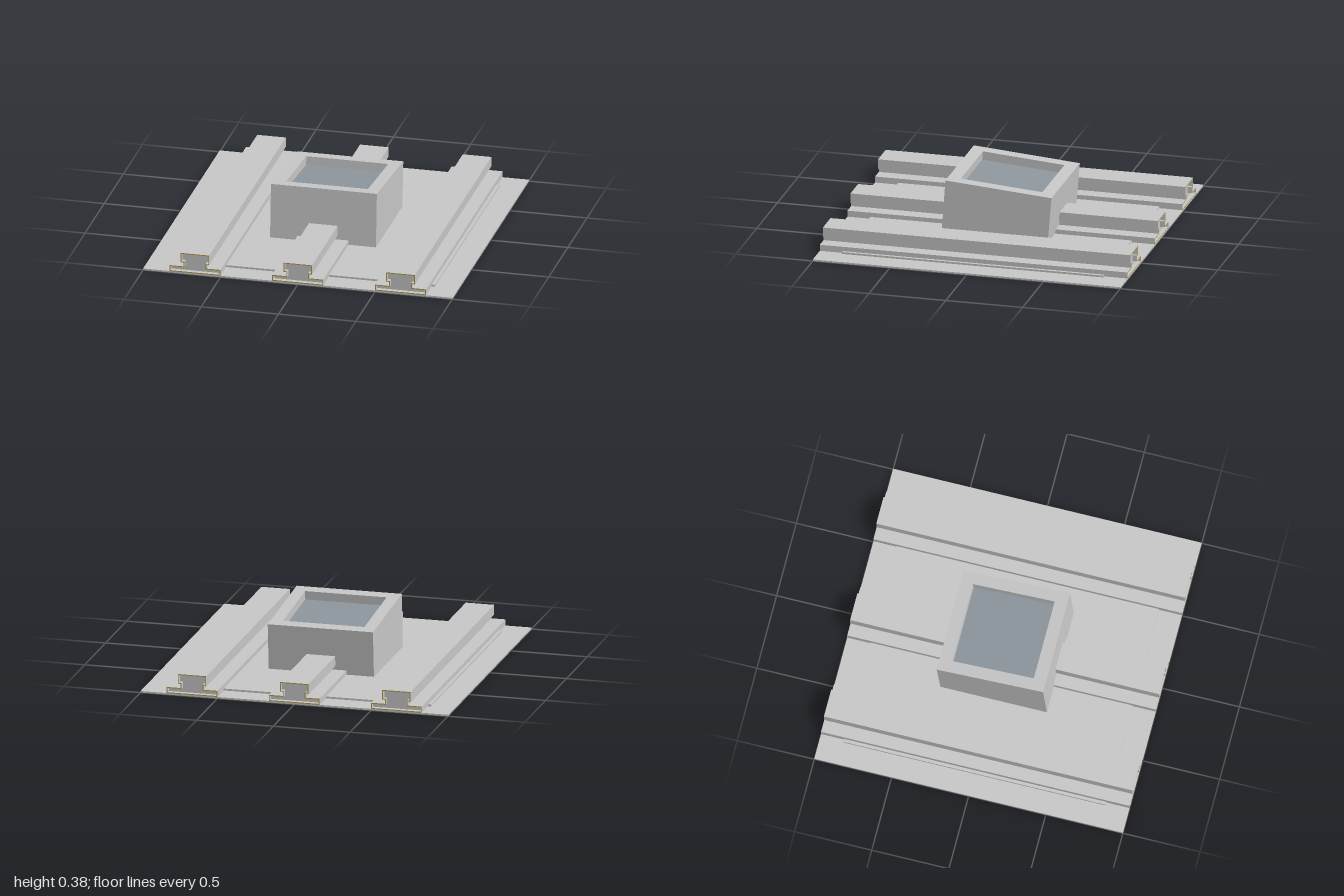
import * as THREE from 'three';

const sheetMetal = new THREE.MeshStandardMaterial({ color: 0xc8c8c8 });
sheetMetal.name = 'light grey metal';
const rimYellow = new THREE.MeshStandardMaterial({ color: 0xb89a40 });
rimYellow.name = 'yellow rim';
const glassBlue = new THREE.MeshStandardMaterial({ color: 0x8e979f });
glassBlue.name = 'blue grey glass';

function add(parent, name, geometry, material, x = 0, y = 0, z = 0) {
  const mesh = new THREE.Mesh(geometry, material);
  mesh.name = name;
  mesh.position.set(x, y, z);
  parent.add(mesh);
  return mesh;
}

const toVectors = (points) => points.map(([x, y]) => new THREE.Vector2(x, y));

// Insets a counter-clockwise right-angled outline by t
function inset(points, t) {
  const n = points.length;
  const inward = (a, b) => [-Math.sign(b[1] - a[1]) * t, Math.sign(b[0] - a[0]) * t];
  return points.map((p, i) => {
    const u = inward(points[(i + n - 1) % n], p);
    const v = inward(p, points[(i + 1) % n]);
    return [p[0] + u[0] + v[0], p[1] + u[1] + v[1]];
  });
}

function extrude(shape, depth) {
  return new THREE.ExtrudeGeometry(shape, { depth, bevelEnabled: false });
}

// Rail: wide foot, narrow neck and broad head, with a shallow open pocket at each end
function makeRail() {
  const rail = new THREE.Group();
  const right = [[0.165, 0.01], [0.165, 0.05], [0.074, 0.05], [0.074, 0.077], [0.0925, 0.077], [0.0925, 0.14]];
  const outline = [...right, ...right.map(([x, y]) => [-x, y]).reverse()];
  const pocket = 0.03;

  add(rail, 'railBody', extrude(new THREE.Shape(toVectors(outline)), 2 - 2 * pocket), sheetMetal, 0, 0, -1 + pocket);

  const ring = new THREE.Shape(toVectors(outline));
  ring.holes.push(new THREE.Path(toVectors(inset(outline, 0.006))));
  const ringGeometry = extrude(ring, pocket);
  for (const z of [-1, 1 - pocket]) {
    add(rail, 'railEndRim', ringGeometry, [rimYellow, sheetMetal], 0, 0, z);
  }
  return rail;
}

function rectangle(Type, halfWidth, z0, z1) {
  return new Type(toVectors([[-halfWidth, -z1], [halfWidth, -z1], [halfWidth, -z0], [-halfWidth, -z0]]));
}

// Tilts the upper rim and leans the walls of an upright unit-high block
function tilt(geometry) {
  const p = geometry.attributes.position;
  for (let i = 0; i < p.count; i++) {
    const z = p.getZ(i);
    const top = 0.35 + 0.08 * z;
    const h = p.getY(i);
    p.setY(i, 0.012 + (top - 0.012) * h);
    p.setZ(i, z + 0.025 * (1 - h));
  }
  geometry.computeVertexNormals();
  return geometry;
}

export function createModel() {
  const model = new THREE.Group();
  model.name = 'roofPanelWithSkylight';

  // Stacked floor sheets
  add(model, 'baseSheet', new THREE.BoxGeometry(2, 0.01, 2), sheetMetal, 0, 0.005, 0);
  add(model, 'upperSheet', new THREE.BoxGeometry(1.7, 0.012, 1.7), sheetMetal, 0, 0.016, 0);

  // Outer rails run the full length
  for (const x of [-0.665, 0.665]) {
    const rail = makeRail();
    rail.name = x > 0 ? 'leftRail' : 'rightRail';
    rail.position.x = x;
    model.add(rail);
  }

  // Middle rail passes beneath the skylight
  const middle = makeRail();
  middle.name = 'middleRail';
  model.add(middle);

  // Skylight curb with a square opening
  const curb = rectangle(THREE.Shape, 0.3425, -0.375, 0.315);
  curb.holes.push(rectangle(THREE.Path, 0.265, -0.295, 0.235));
  add(model, 'skylightCurb', tilt(extrude(curb, 1).rotateX(-Math.PI / 2)), sheetMetal);

  // Pane lying parallel to the curb's rim
  const pane = add(model, 'skylightPane', new THREE.BoxGeometry(0.535, 0.008, 0.54), glassBlue, 0, 0.288, -0.026);
  pane.rotation.x = -0.08;

  return model;
}
